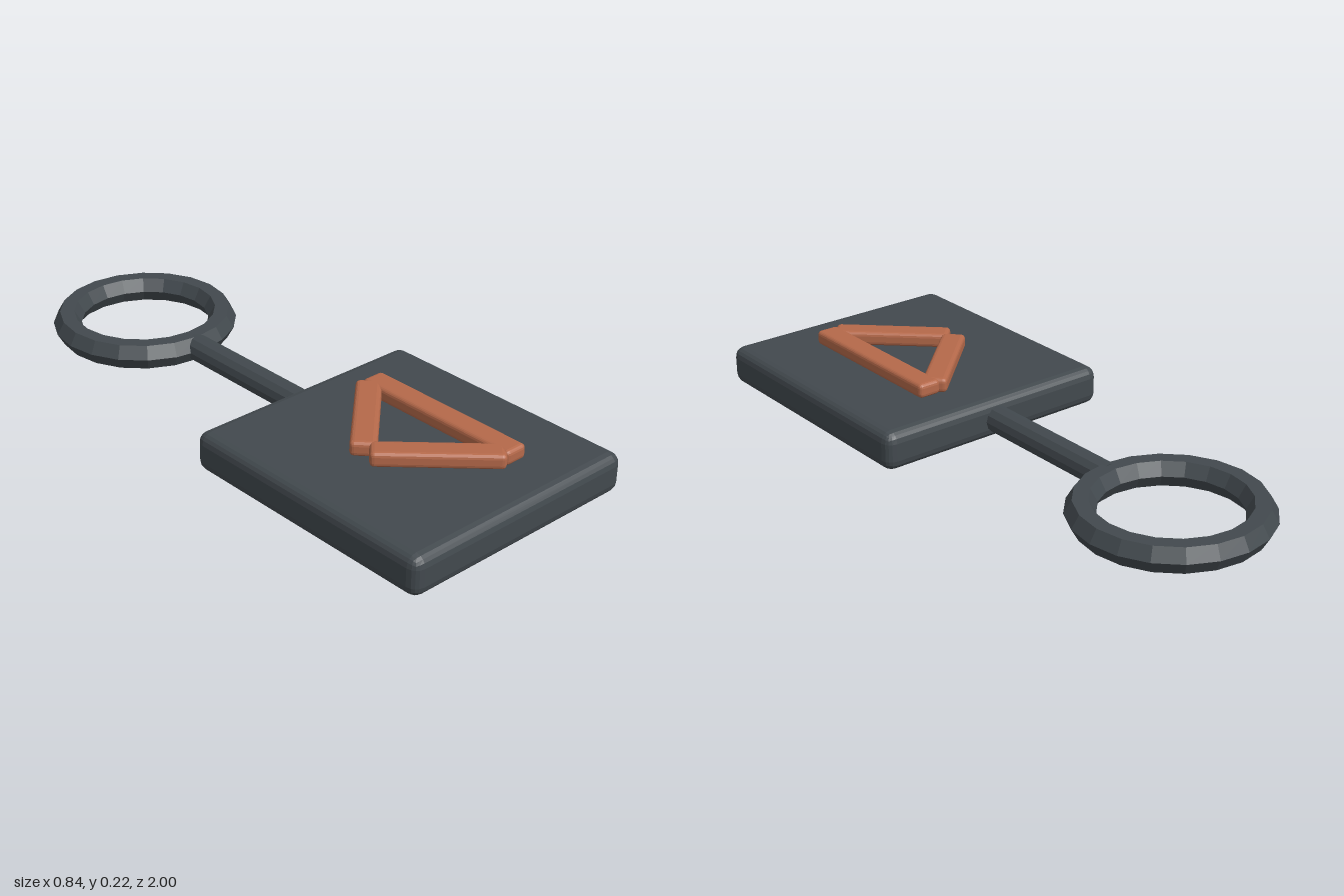
import * as THREE from 'three';
import { RoundedBoxGeometry } from 'three/addons/geometries/RoundedBoxGeometry.js';

export function createModel() {
  const model = new THREE.Group();
  model.name = 'brandingTool';
  const iron = new THREE.MeshStandardMaterial({ color: 0x42494e, flatShading: true });
  const copper = new THREE.MeshStandardMaterial({ color: 0xb5694a, flatShading: true });
  const midY = 0.1125, plateHalf = 0.064, barHeight = 0.048;

  const add = (parent, name, geometry, material, x, y, z) => {
    const mesh = new THREE.Mesh(geometry, material);
    mesh.name = name;
    mesh.position.set(x, y, z);
    parent.add(mesh);
    return mesh;
  };

  // Thick plate with softened edges
  add(model, 'plate', new RoundedBoxGeometry(0.84, plateHalf * 2, 0.905, 2, 0.035), iron, 0, midY, 0.545);

  // Round shaft running from the plate to the ring
  const shaft = add(model, 'shaft', new THREE.CylinderGeometry(0.044, 0.044, 0.56, 12), iron, 0, midY, -0.15);
  shaft.rotation.x = Math.PI / 2;

  // Ring handle with a six-sided section
  const ring = add(model, 'ring', new THREE.TorusGeometry(0.259, 0.047, 6, 20), iron, 0, midY, -0.694);
  ring.rotation.x = Math.PI / 2;

  // Triangle of raised bars, repeated on the underside by a half turn
  const bar = (length) => new RoundedBoxGeometry(0.08, barHeight, length, 2, 0.014);
  for (const [name, turn] of [['topTriangle', 0], ['bottomTriangle', Math.PI]]) {
    const triangle = new THREE.Group();
    triangle.name = name;
    triangle.position.set(0, midY, 0.539);
    triangle.rotation.z = turn;
    const y = plateHalf + barHeight / 2;
    add(triangle, 'straightBar', bar(0.588), copper, 0.146, y, 0);
    for (const side of [-1, 1]) {
      const slanted = add(triangle, 'slantedBar', bar(0.385), copper, -0.019, y, side * 0.145);
      slanted.rotation.y = side * 0.81;
    }
    model.add(triangle);
  }
  return model;
}
